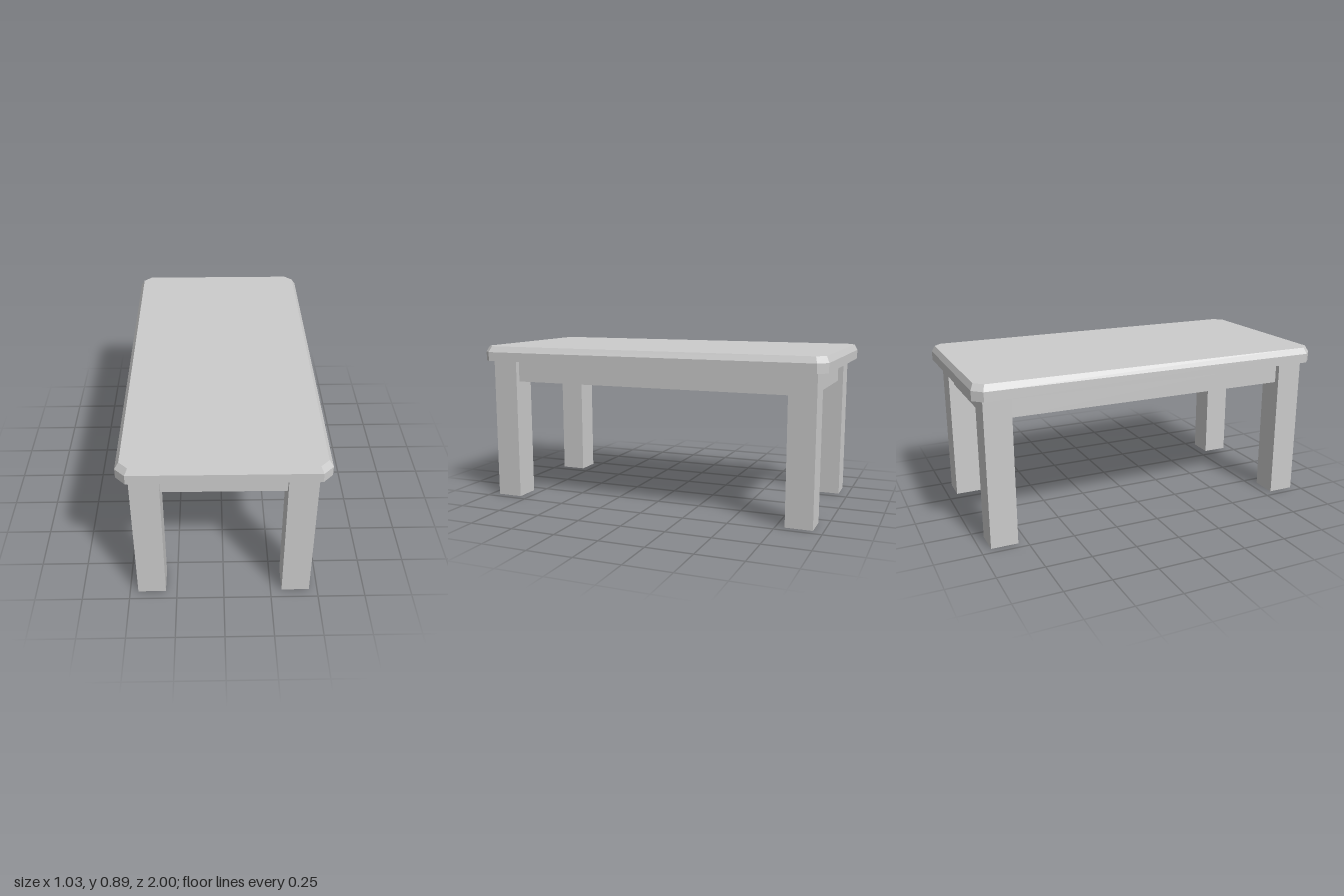
import * as THREE from 'three';

const material = new THREE.MeshStandardMaterial({ color: 0xcccccc, flatShading: true });

function box(name, size, position) {
  const mesh = new THREE.Mesh(new THREE.BoxGeometry(...size), material);
  mesh.name = name;
  mesh.position.set(...position);
  return mesh;
}

// Rectangle with clipped corners at height y, counter-clockwise seen from above
function ring(hx, hz, cut, y) {
  return [
    [hx, hz - cut], [hx, cut - hz], [hx - cut, -hz], [cut - hx, -hz],
    [-hx, cut - hz], [-hx, hz - cut], [cut - hx, hz], [hx - cut, hz],
  ].map(([x, z]) => [x, y, z]);
}

// Closed solid skinned through a stack of rings, bottom to top
function loft(rings) {
  const pos = [];
  const n = rings[0].length;
  const top = rings[rings.length - 1];
  for (let r = 0; r < rings.length - 1; r++) {
    for (let i = 0; i < n; i++) {
      const j = (i + 1) % n;
      const a = rings[r][i], b = rings[r][j], c = rings[r + 1][j], d = rings[r + 1][i];
      pos.push(...a, ...b, ...c, ...a, ...c, ...d);
    }
  }
  for (let i = 1; i < n - 1; i++) {
    pos.push(...top[0], ...top[i], ...top[i + 1]);
    pos.push(...rings[0][0], ...rings[0][i + 1], ...rings[0][i]);
  }
  const geometry = new THREE.BufferGeometry();
  geometry.setAttribute('position', new THREE.Float32BufferAttribute(pos, 3));
  geometry.computeVertexNormals();
  return geometry;
}

export function createModel() {
  const table = new THREE.Group();
  table.name = 'table';

  // Tabletop: upright edge, then a bevel up to the flat top
  const tabletop = new THREE.Mesh(loft([
    ring(0.513, 1, 0.05, 0.808),
    ring(0.513, 1, 0.05, 0.859),
    ring(0.492, 0.985, 0.045, 0.892),
  ]), material);
  tabletop.name = 'tabletop';
  table.add(tabletop);

  const legX = 0.383, legZ = 0.875, legWidth = 0.147, zShift = 0.003;
  const apronY = 0.747, apronHeight = 0.123, apronDepth = 0.088;

  for (const side of [-1, 1]) {
    // Square legs
    for (const end of [-1, 1]) {
      table.add(box('leg', [legWidth, 0.808, legWidth], [side * legX, 0.404, end * legZ + zShift]));
    }
    // Aprons run between the legs, centred on them
    table.add(box('sideApron', [apronDepth, apronHeight, 2 * legZ - legWidth], [side * legX, apronY, zShift]));
    table.add(box('endApron', [2 * legX - legWidth, apronHeight, apronDepth], [0, apronY, side * legZ + zShift]));
  }
  return table;
}
